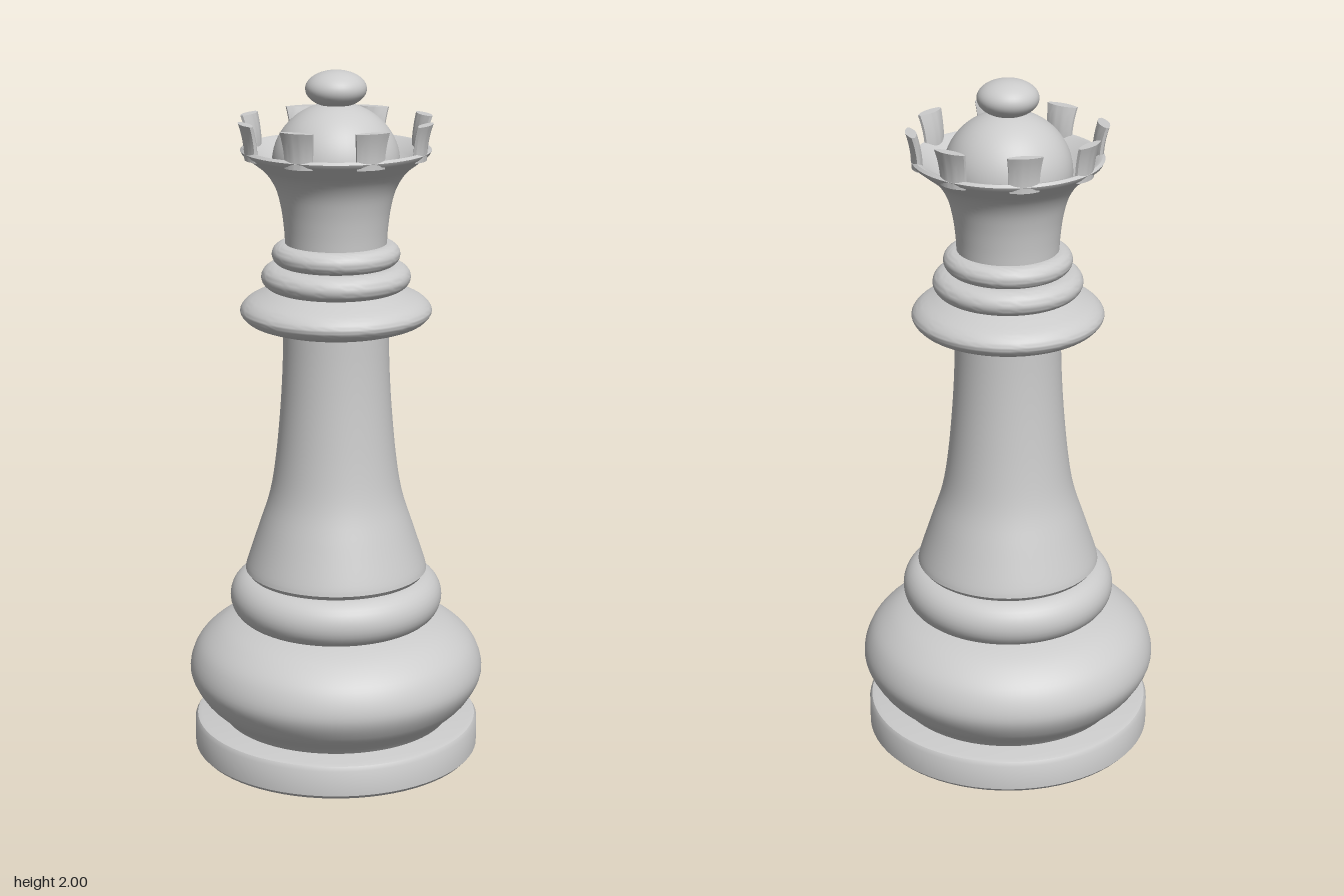
import * as THREE from 'three';
import { toCreasedNormals } from 'three/addons/utils/BufferGeometryUtils.js';

const material = new THREE.MeshStandardMaterial({ color: 0xcccccc, side: THREE.DoubleSide });
const vectors = (points) => points.map(([r, y]) => new THREE.Vector2(r, y));

// Turned part; points run from bottom to top as [radius, height]
function turned(name, profile) {
  const geometry = toCreasedNormals(new THREE.LatheGeometry(profile, 72), 0.6);
  const mesh = new THREE.Mesh(geometry, material);
  mesh.name = name;
  return mesh;
}

const curved = (points, steps = 28) => new THREE.SplineCurve(vectors(points)).getPoints(steps);

// Rounded ring closed to the axis at both ends
function ring(name, radius, inner, bottom, top) {
  const bulge = (top - bottom) / 2;
  const middle = (top + bottom) / 2;
  const depth = radius - inner;
  const profile = [new THREE.Vector2(0, bottom)];
  for (let i = 0; i <= 16; i++) {
    const a = -Math.PI / 2 + (i / 16) * Math.PI;
    profile.push(new THREE.Vector2(inner + depth * Math.cos(a), middle + bulge * Math.sin(a)));
  }
  profile.push(new THREE.Vector2(0, top));
  return turned(name, profile);
}

// Crown tooth: a lens-shaped plate that flares outwards and widens upwards
function toothGeometry() {
  const geometry = new THREE.BoxGeometry(2, 1, 1, 12, 8, 1);
  const p = geometry.attributes.position;
  for (let i = 0; i < p.count; i++) {
    const t = p.getX(i);
    const h = p.getY(i) + 0.5;
    const lens = 1 - t * t;
    const radius = 0.248 + 0.016 * h * h;
    const offset = p.getZ(i) > 0 ? 0.005 + 0.011 * lens : -0.003 - 0.011 * lens;
    p.setXYZ(i, t * (0.04 + 0.008 * h * h), 1.765 + 0.1 * h, radius + offset);
  }
  return toCreasedNormals(geometry, 0.6);
}

export function createModel() {
  const model = new THREE.Group();
  model.name = 'chessQueen';

  // Base
  model.add(turned('baseDisc', vectors([
    [0, 0], [0.36, 0.008], [0.405, 0.014], [0.415, 0.025], [0.415, 0.1], [0.408, 0.112], [0.395, 0.116], [0, 0.116],
  ])));
  model.add(turned('baseBelly', curved([
    [0.325, 0.11], [0.345, 0.135], [0.395, 0.185], [0.427, 0.255], [0.405, 0.33], [0.345, 0.385], [0.27, 0.415], [0.2, 0.425],
  ], 40)));
  model.add(ring('lowerRing', 0.307, 0.24, 0.41, 0.55));

  // Stem
  model.add(turned('stem', [
    ...vectors([[0, 0.545], [0.25, 0.547]]),
    ...curved([
      [0.262, 0.562], [0.255, 0.59], [0.222, 0.69], [0.19, 0.79], [0.172, 0.9], [0.158, 1.05], [0.151, 1.18], [0.149, 1.3],
    ]),
  ]));

  // Collar and neck rings
  model.add(turned('collar', [
    new THREE.Vector2(0, 1.285),
    ...curved([
      [0.21, 1.285], [0.25, 1.3], [0.27, 1.328], [0.25, 1.357], [0.205, 1.378], [0.16, 1.393],
    ]),
  ]));
  model.add(ring('middleNeckRing', 0.21, 0.165, 1.388, 1.46));
  model.add(ring('upperNeckRing', 0.18, 0.145, 1.457, 1.52));

  // Flared head with a hollow top
  model.add(turned('head', [
    ...curved([
      [0.142, 1.51], [0.145, 1.56], [0.153, 1.62], [0.168, 1.675], [0.196, 1.72], [0.235, 1.752], [0.26, 1.772],
    ]),
    ...vectors([[0.265, 1.782], [0.258, 1.789], [0.246, 1.786], [0.215, 1.755], [0.17, 1.725], [0, 1.72]]),
  ]));

  // Crown teeth
  const crown = new THREE.Group();
  crown.name = 'crownTeeth';
  const geometry = toothGeometry();
  for (let i = 0; i < 8; i++) {
    const tooth = new THREE.Mesh(geometry, material);
    tooth.name = 'crownTooth';
    tooth.rotation.y = (-11.5 * Math.PI) / 180 + (i * Math.PI) / 4;
    crown.add(tooth);
  }
  model.add(crown);

  // Dome and top ball
  const dome = new THREE.Mesh(new THREE.SphereGeometry(0.178, 48, 20, 0, Math.PI * 2, 0, Math.PI * 0.56), material);
  dome.name = 'dome';
  dome.scale.y = 0.95;
  dome.position.y = 1.743;
  model.add(dome);

  const ball = new THREE.Mesh(new THREE.SphereGeometry(0.085, 40, 24), material);
  ball.name = 'topBall';
  ball.scale.y = 0.6;
  ball.position.y = 1.949;
  model.add(ball);

  return model;
}
